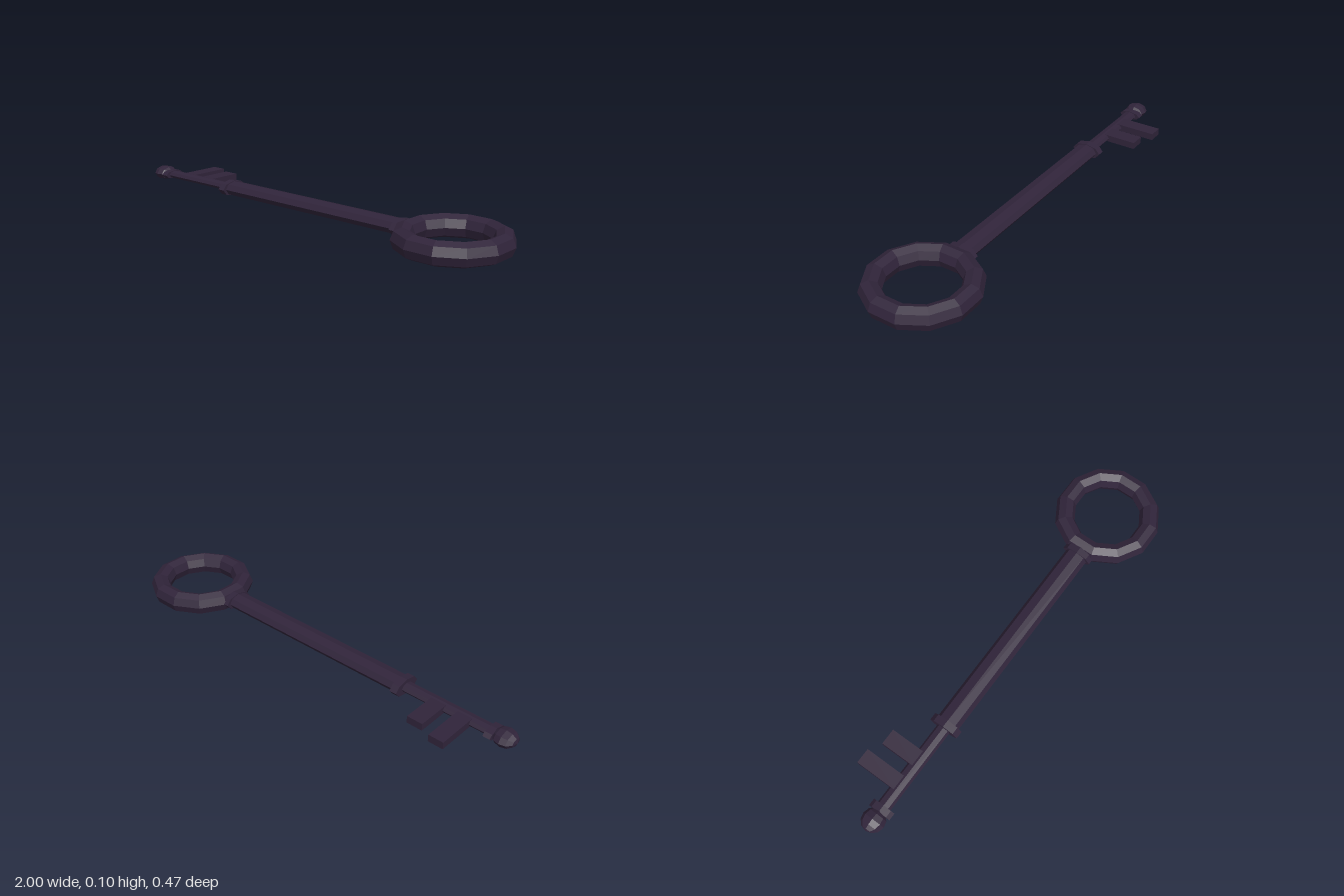
import * as THREE from 'three';

const Y = 0.052; // height of the shaft axis

export function createModel() {
  const key = new THREE.Group();
  key.name = 'key';
  const darkMetal = new THREE.MeshStandardMaterial({ color: 0x30243a, flatShading: true });
  darkMetal.name = 'darkMetal';

  const add = (name, geometry, x, y, z) => {
    const mesh = new THREE.Mesh(geometry, darkMetal);
    mesh.name = name;
    mesh.position.set(x, y, z);
    key.add(mesh);
  };

  // Flattened eight-sided bar along x, from x0 to x1
  const bar = (name, x0, x1, halfY, halfZ) => {
    const g = new THREE.CylinderGeometry(1, 1, x1 - x0, 8);
    g.rotateZ(Math.PI / 2).scale(1, halfY, halfZ);
    add(name, g, (x0 + x1) / 2, Y, 0);
  };

  // Twelve-sided handle ring, lying flat and slightly tall in section
  const ring = new THREE.TorusGeometry(0.1975, 0.0455, 8, 12);
  ring.rotateZ(Math.PI / 12).rotateX(-Math.PI / 2).scale(1, 0.05 / 0.0455, 1);
  add('handleRing', ring, 0.766, 0.05, 0);

  // Shaft and its collars
  bar('shaft', -0.46, 0.56, 0.033, 0.053);
  bar('handleCollar', 0.513, 0.545, 0.036, 0.07);
  bar('shaftCollar', -0.477, -0.443, 0.035, 0.07);
  bar('rod', -0.92, -0.46, 0.018, 0.032);
  bar('tipCollar', -0.91, -0.877, 0.02, 0.053);

  // Rounded tip
  const tip = new THREE.SphereGeometry(1, 8, 6);
  tip.rotateZ(Math.PI / 2).scale(0.053, 0.034, 0.053);
  add('tip', tip, -0.947, Y, 0);

  // Teeth reaching towards the back
  for (const [x, width, reach] of [[-0.767, 0.069, 0.2], [-0.642, 0.073, 0.166]]) {
    add('tooth', new THREE.BoxGeometry(width, 0.032, reach), x, Y, -reach / 2);
  }
  return key;
}
